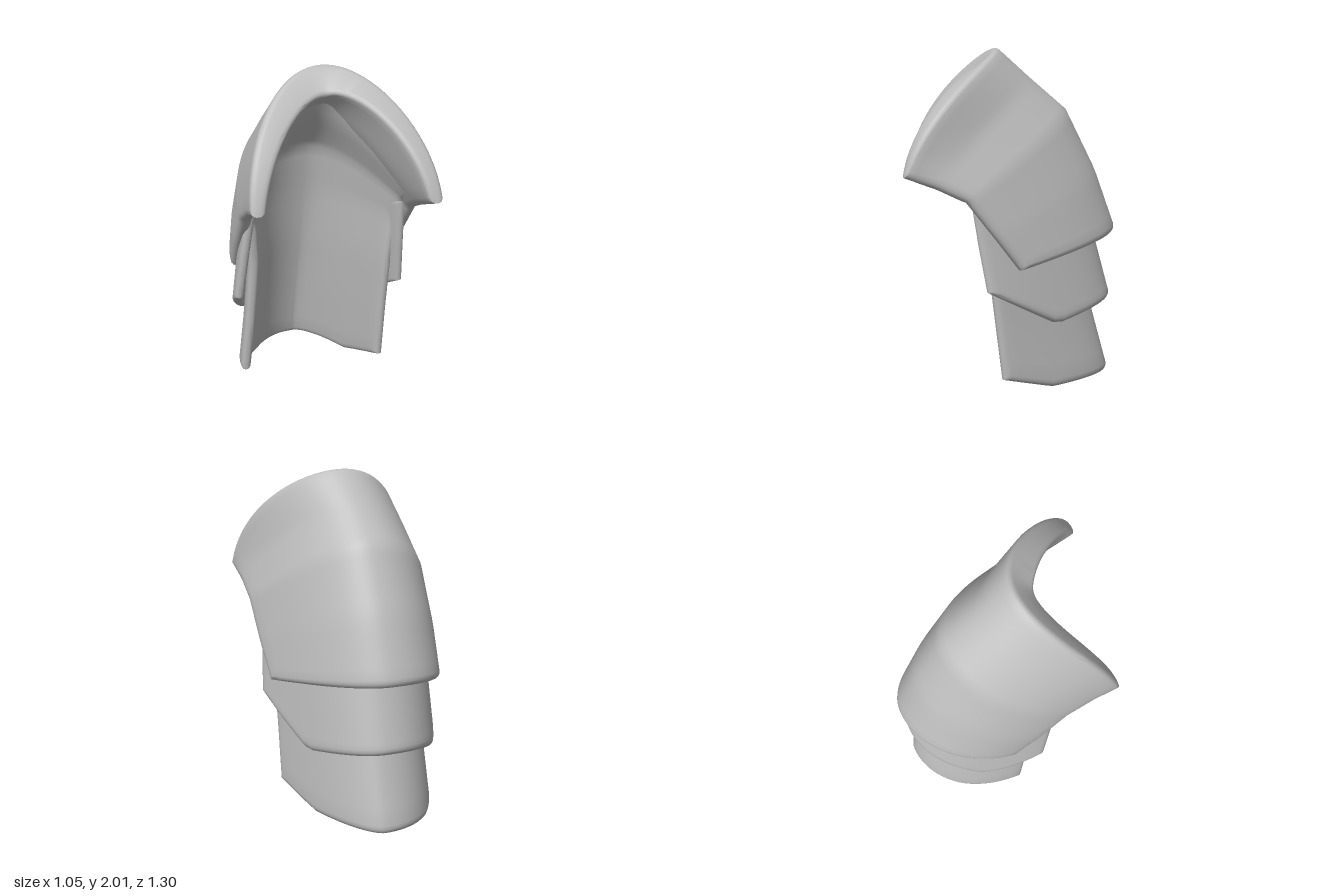
import * as THREE from 'three';
import { toCreasedNormals } from 'three/addons/utils/BufferGeometryUtils.js';

// One U-shaped cross-section, u from -1 (right end) to 1 (left end).
// spine: [x, z, y]; left/right ends: [x, z, y, kink fraction, kink y].
// slim: exponent that flattens the left flank; without it both flanks are elliptical.
// bulge: pushes the arch forward between spine and ends.
function sectionPoint({ spine, left, right, slim, bulge = 0 }, u) {
  const end = u < 0 ? right : left;
  const s = Math.abs(u), a = s * Math.PI / 2;
  const flat = slim && u > 0;
  const side = flat ? s : Math.sin(a);
  const t = flat ? Math.pow(s, slim) : 1 - Math.cos(a);
  const [endX, endZ, endY, kt = 0.5, ky = (spine[2] + endY) / 2] = end;
  const y = t < kt
    ? THREE.MathUtils.lerp(spine[2], ky, t / kt)
    : THREE.MathUtils.lerp(ky, endY, (t - kt) / (1 - kt));
  return new THREE.Vector3(
    THREE.MathUtils.lerp(spine[0], endX, side),
    y,
    THREE.MathUtils.lerp(spine[1], endZ, t + bulge * t * (1 - t)),
  );
}

// Parameter samples, denser inside the rounded border b at both ends.
function samples(n, b) {
  const edge = [0, 0.07, 0.25, 0.55];
  const list = edge.map((e) => e * b);
  for (let i = 0; i <= n; i++) list.push(b + (1 - 2 * b) * i / n);
  return list.concat(edge.map((e) => 1 - e * b).reverse());
}

// Curved plate with rounded borders, lofted through its sections.
function makePlate(name, material, { sections, length, spineThick, endThick, rimThick = spineThick }) {
  const spans = sections.length - 1;
  const surface = (u, v) => {
    const k = Math.min(Math.floor(v * spans), spans - 1);
    return sectionPoint(sections[k], u).lerp(sectionPoint(sections[k + 1], u), v * spans - k);
  };
  const bu = 0.018, bv = 0.035 / length;
  const us = samples(40, bu), vs = samples(24, bv);
  const nu = us.length, nv = vs.length, count = nu * nv;
  const outer = [], inner = [];

  for (const v of vs) {
    for (const s of us) {
      const u = s * 2 - 1, hu = 0.01, hv = 0.04;
      const p = surface(u, v);
      const du = surface(Math.min(1, u + hu), v).sub(surface(Math.max(-1, u - hu), v));
      const dv = surface(u, Math.min(1, v + hv)).sub(surface(u, Math.max(0, v - hv)));
      const n = du.cross(dv).normalize();
      const middle = THREE.MathUtils.lerp(rimThick, spineThick, Math.min(1, v * 2));
      const thick = THREE.MathUtils.lerp(middle, endThick, Math.pow(Math.abs(u), 1.5));
      // quarter-round falloff toward the border
      const e = Math.min(1, Math.min(s, 1 - s) / bu, Math.min(v, 1 - v) / bv);
      const round = Math.min(0.035, thick * 0.4) * (1 - Math.sqrt(Math.max(0, 1 - (1 - e) ** 2)));
      outer.push(...p.clone().addScaledVector(n, -round).toArray());
      inner.push(...p.clone().addScaledVector(n, round - thick).toArray());
    }
  }

  const index = [];
  const quad = (a, b, c, d) => index.push(a, b, c, a, c, d);
  const O = (i, j) => j * nu + i, I = (i, j) => count + j * nu + i;
  for (let j = 0; j < nv - 1; j++) {
    for (let i = 0; i < nu - 1; i++) {
      quad(O(i, j), O(i + 1, j), O(i + 1, j + 1), O(i, j + 1));
      quad(I(i, j), I(i, j + 1), I(i + 1, j + 1), I(i + 1, j));
    }
  }
  // border walls
  const r = nu - 1, b = nv - 1;
  for (let i = 0; i < r; i++) {
    quad(I(i, 0), I(i + 1, 0), O(i + 1, 0), O(i, 0));
    quad(O(i, b), O(i + 1, b), I(i + 1, b), I(i, b));
  }
  for (let j = 0; j < b; j++) {
    quad(I(0, j), O(0, j), O(0, j + 1), I(0, j + 1));
    quad(I(r, j + 1), O(r, j + 1), O(r, j), I(r, j));
  }

  const geometry = new THREE.BufferGeometry();
  geometry.setAttribute('position', new THREE.Float32BufferAttribute(outer.concat(inner), 3));
  geometry.setIndex(index);
  const mesh = new THREE.Mesh(toCreasedNormals(geometry, 0.9), material);
  mesh.name = name;
  return mesh;
}

export function createModel() {
  const metal = new THREE.MeshStandardMaterial({ color: 0xbdbdbd });
  metal.name = 'plainGrey';
  const group = new THREE.Group();
  group.name = 'shoulderArmour';

  // large plate arching over the shoulder
  group.add(makePlate('shoulderPlate', metal, {
    length: 1.3, spineThick: 0.13, rimThick: 0.2, endThick: 0.08,
    sections: [
      { spine: [0, 0.07, 2.02], left: [0.53, 0.65, 1.36], right: [-0.51, 0.52, 1.33], bulge: 0.65 },
      { spine: [-0.02, -0.13, 1.84], left: [0.525, 0.47, 1.305], right: [-0.51, 0.37, 1.28], slim: 2.1, bulge: 0.25 },
      { spine: [-0.03, -0.35, 1.65], left: [0.52, 0.3, 1.22], right: [-0.515, 0.22, 1.19], slim: 2 },
      { spine: [-0.035, -0.53, 1.29], left: [0.505, 0.14, 1.01], right: [-0.52, 0.06, 0.98], slim: 2 },
      { spine: [-0.04, -0.665, 0.92], left: [0.48, -0.01, 0.81], right: [-0.51, -0.1, 0.765], slim: 2 },
    ],
  }));

  // middle plate with a pointed lower edge
  group.add(makePlate('middlePlate', metal, {
    length: 0.75, spineThick: 0.1, endThick: 0.055,
    sections: [
      { spine: [-0.03, -0.44, 1.22], left: [0.455, 0.27, 1.24], right: [-0.46, 0.17, 1.22], slim: 2.1 },
      { spine: [-0.03, -0.53, 0.89], left: [0.465, 0.23, 0.97], right: [-0.495, 0.13, 0.94], slim: 2.15 },
      { spine: [-0.03, -0.635, 0.51], left: [0.48, 0.18, 0.69, 0.47, 0.44], right: [-0.53, 0.08, 0.64, 0.47, 0.395], slim: 2.15 },
    ],
  }));

  // lowest plate, running up inside the others as their smooth lining
  group.add(makePlate('lowerPlate', metal, {
    length: 2, spineThick: 0.09, rimThick: 0.06, endThick: 0.06,
    sections: [
      { spine: [0, 0.08, 1.9], left: [0.49, 0.52, 1.37], right: [-0.47, 0.4, 1.35], bulge: 0.6 },
      { spine: [-0.02, -0.04, 1.73], left: [0.48, 0.4, 1.33], right: [-0.465, 0.3, 1.31], slim: 2.1, bulge: 0.25 },
      { spine: [-0.03, -0.25, 1.5], left: [0.47, 0.28, 1.26], right: [-0.465, 0.2, 1.24], slim: 2 },
      { spine: [-0.03, -0.34, 1.17], left: [0.44, 0.19, 1.13], right: [-0.45, 0.1, 1.13], slim: 2 },
      { spine: [-0.03, -0.42, 0.82], left: [0.415, 0.16, 0.82], right: [-0.43, 0.05, 0.82], slim: 1.9 },
      { spine: [-0.03, -0.525, 0.43], left: [0.405, 0.12, 0.48], right: [-0.45, 0.01, 0.45], slim: 1.8 },
      { spine: [-0.03, -0.635, 0.03], left: [0.4, 0.08, 0.14, 0.55, 0.035], right: [-0.48, -0.04, 0.08, 0.35, 0.005], slim: 1.8 },
    ],
  }));

  return group;
}
